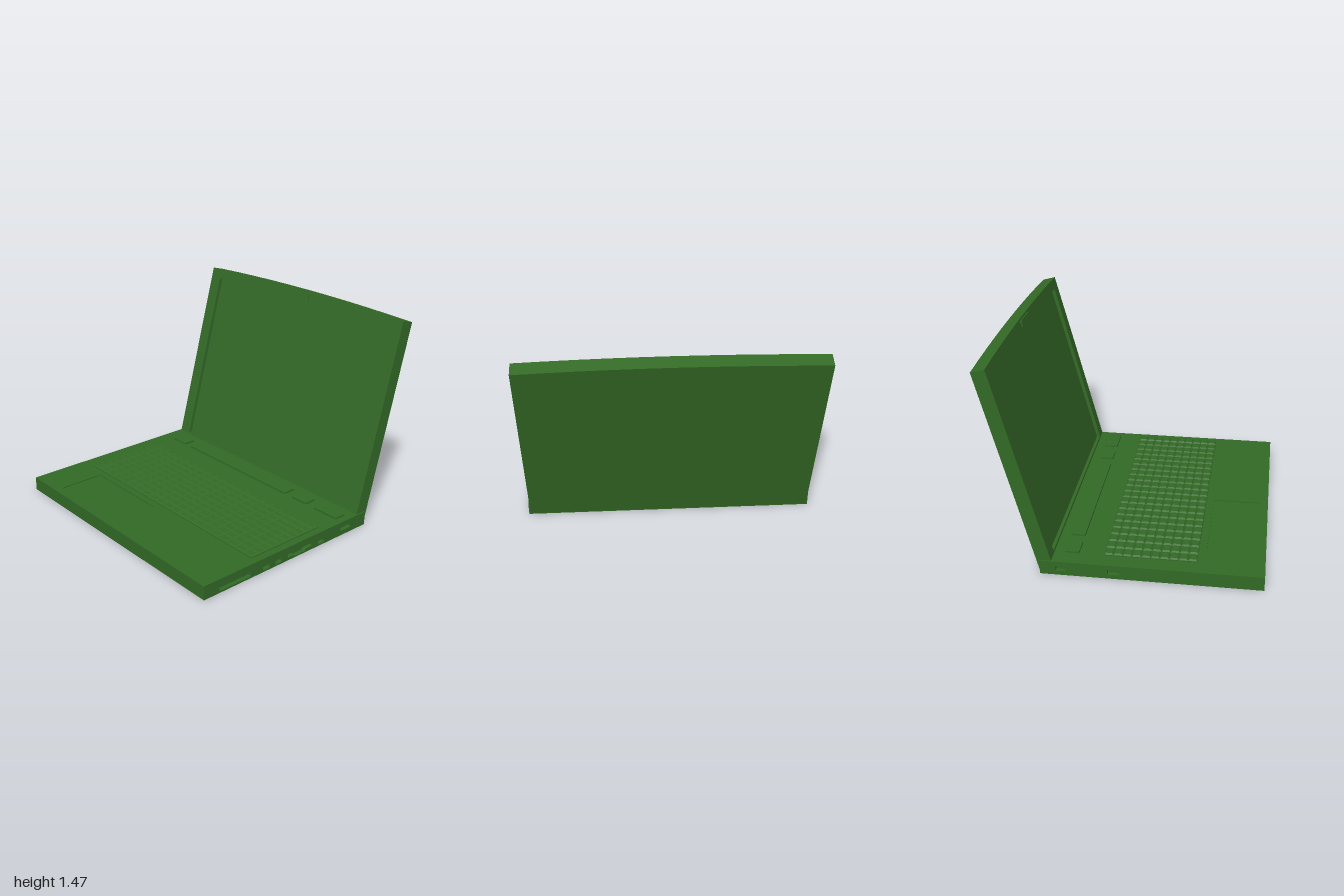
import * as THREE from 'three';
import { mergeGeometries } from 'three/addons/utils/BufferGeometryUtils.js';

const green = new THREE.MeshStandardMaterial({ color: 0x336a26 });
green.name = 'green';

function add(parent, name, geometry, x = 0, y = 0, z = 0) {
  const mesh = new THREE.Mesh(geometry, green);
  mesh.name = name;
  mesh.position.set(x, y, z);
  parent.add(mesh);
  return mesh;
}

// Rectangle with clipped-round corners, usable as a shape or a hole
function roundRect(x0, x1, y0, y1, r, Type = THREE.Shape) {
  const s = new Type();
  s.moveTo(x0 + r, y0);
  s.lineTo(x1 - r, y0);
  s.quadraticCurveTo(x1, y0, x1, y0 + r);
  s.lineTo(x1, y1 - r);
  s.quadraticCurveTo(x1, y1, x1 - r, y1);
  s.lineTo(x0 + r, y1);
  s.quadraticCurveTo(x0, y1, x0, y1 - r);
  s.lineTo(x0, y0 + r);
  s.quadraticCurveTo(x0, y0, x0 + r, y0);
  return s;
}

function rect(x0, x1, y0, y1, Type = THREE.Shape) {
  return new Type([[x0, y0], [x1, y0], [x1, y1], [x0, y1]].map(p => new THREE.Vector2(...p)));
}

// Panel with a gently bowed top edge
function bowed(halfWidth, bottom, side, middle, Type = THREE.Shape) {
  const s = new Type();
  s.moveTo(-halfWidth, bottom);
  s.lineTo(halfWidth, bottom);
  s.lineTo(halfWidth, side);
  s.quadraticCurveTo(0, 2 * middle - side, -halfWidth, side);
  s.lineTo(-halfWidth, bottom);
  return s;
}

const extrude = (shape, depth) =>
  new THREE.ExtrudeGeometry(shape, { depth, bevelEnabled: false, curveSegments: 10 });

// Lies a shape drawn in x and -z flat, rising by height
const slab = (shape, height) => extrude(shape, height).rotateX(-Math.PI / 2);

// Key cap tapering towards its top
function keyCap(x, z, w, d, y0, h) {
  const g = new THREE.BoxGeometry(w, h, d);
  const p = g.attributes.position;
  for (let i = 0; i < p.count; i++) {
    if (p.getY(i) > 0) p.setXYZ(i, p.getX(i) * 0.72, p.getY(i), p.getZ(i) * 0.72);
  }
  g.computeVertexNormals();
  return g.translate(x, y0 + h / 2, z);
}

function createBase() {
  const base = new THREE.Group();
  base.name = 'base';
  const front = 0.94, back = -0.555, wall = 0.03, inner = 1 - wall;
  const length = front - back;
  add(base, 'baseCore', new THREE.BoxGeometry(2 * inner, 0.093, length), 0, 0.0465, (front + back) / 2);

  // Deck with the shallow touchpad recess
  const deck = rect(-inner, inner, -front, -back);
  deck.holes.push(roundRect(-0.72, -0.03, -0.88, -0.54, 0.02, THREE.Path));
  add(base, 'deck', slab(deck, 0.007), 0, 0.093, 0);

  // Side walls with port openings, drawn in -z and y
  const display = new THREE.Path([
    [-0.21, 0.02], [-0.15, 0.02], [-0.14, 0.01], [-0.05, 0.01], [-0.04, 0.025],
    [0.02, 0.03], [0.02, 0.05], [-0.21, 0.05]].map(p => new THREE.Vector2(...p)));
  const port = (a, b, y0, y1) => roundRect(a, b, y0, y1, 0.008, THREE.Path);
  const leftPorts = [
    port(-0.81, -0.545, 0.013, 0.05), port(-0.435, -0.375, 0.013, 0.05),
    port(-0.325, -0.265, 0.013, 0.05), display,
    port(0.08, 0.14, 0.013, 0.05), port(0.305, 0.405, 0.034, 0.07)];
  const rightPorts = [port(0.02, 0.1, 0.03, 0.065), port(0.38, 0.45, 0.03, 0.065)];
  for (const [name, ports, x] of [['leftWall', leftPorts, inner], ['rightWall', rightPorts, -1]]) {
    const wallShape = rect(-front, -back, 0, 0.1);
    wallShape.holes.push(...ports);
    add(base, name, extrude(wallShape, wall).rotateY(Math.PI / 2), x, 0, 0);
  }
  return base;
}

function createKeyboard() {
  const keyboard = new THREE.Group();
  keyboard.name = 'keyboard';
  const x0 = -0.88, x1 = 0.945, z0 = -0.14, z1 = 0.49;
  add(keyboard, 'keyboardPlate', slab(rect(x0, x1, -z1, -z0), 0.007), 0, 0.099, 0);

  // Grid of small keys
  const columns = 20, rows = 10, gridEnd = 0.87;
  const px = (gridEnd - x0) / columns, pz = (z1 - z0) / rows;
  const keys = [];
  for (let r = 0; r < rows; r++) {
    const z = z0 + (r + 0.5) * pz;
    for (let c = 0; c < columns; c++) {
      keys.push(keyCap(x0 + (c + 0.5) * px, z, px * 0.96, pz * 0.96, 0.106, 0.008));
    }
    keys.push(keyCap((gridEnd + x1) / 2, z, (x1 - gridEnd) * 0.92, pz * 0.96, 0.106, 0.008));
  }
  add(keyboard, 'keys', mergeGeometries(keys));

  // Strip of wide buttons behind the keys
  for (const [a, b] of [[-0.88, -0.73], [-0.66, 0.435], [0.51, 0.65], [0.73, 0.945]]) {
    add(keyboard, 'topButton', slab(roundRect(a, b, 0.31, 0.41, 0.012), 0.014), 0, 0.099, 0);
  }
  return keyboard;
}

function createLid() {
  const lid = new THREE.Group();
  lid.name = 'lid';
  const recess = 0.026, thickness = 0.097;
  add(lid, 'lidBack', extrude(bowed(0.99, -0.077, 1.4, 1.423), thickness - recess), 0, 0, -thickness);

  // Bezel framing the sunken screen
  const bezel = bowed(0.99, -0.077, 1.4, 1.423);
  bezel.holes.push(bowed(0.89, 0.015, 1.33, 1.35, THREE.Path));
  add(lid, 'bezel', extrude(bezel, recess), 0, 0, -recess);
  add(lid, 'screen', extrude(bowed(0.885, 0.02, 1.325, 1.345), 0.002), 0, 0, -recess);
  add(lid, 'camera', extrude(roundRect(-0.105, 0.105, 1.36, 1.407, 0.01), 0.009), 0, 0, 0);

  // Leaned back from the hinge line
  lid.position.set(0, 0.1, -0.48);
  lid.rotation.x = -THREE.MathUtils.degToRad(15);
  return lid;
}

export function createModel() {
  const model = new THREE.Group();
  model.name = 'laptop';
  model.add(createBase(), createKeyboard(), createLid());
  return model;
}
